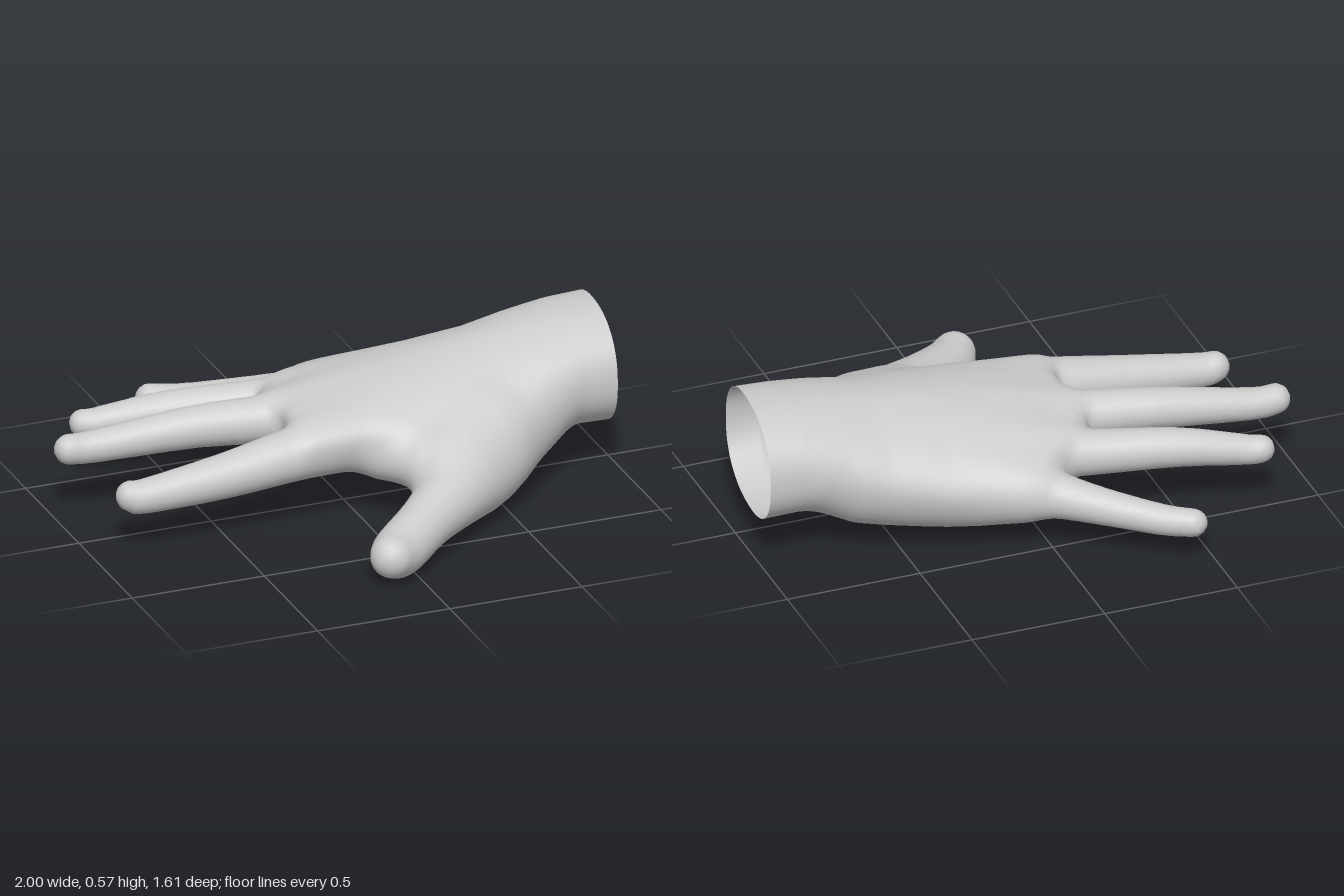
import * as THREE from 'three';

// Finger bones as chains of [x, y, z, radius], from knuckle root to tip
const BONES = {
  index: [[0.1, 0.28, 0.11, 0.11], [-0.2, 0.275, 0.13, 0.097], [-0.5, 0.237, 0.14, 0.08], [-0.8, 0.207, 0.135, 0.062], [-0.855, 0.214, 0.13, 0.055]],
  middle: [[0.1, 0.31, -0.1, 0.11], [-0.2, 0.295, -0.13, 0.088], [-0.5, 0.288, -0.18, 0.075], [-0.85, 0.255, -0.225, 0.058], [-0.945, 0.258, -0.228, 0.054]],
  ring: [[0.1, 0.28, -0.27, 0.1], [-0.2, 0.262, -0.345, 0.082], [-0.5, 0.255, -0.413, 0.07], [-0.74, 0.225, -0.47, 0.054], [-0.79, 0.225, -0.483, 0.05]],
  little: [[0.2, 0.235, -0.36, 0.1], [0, 0.205, -0.475, 0.083], [-0.15, 0.18, -0.58, 0.066], [-0.33, 0.15, -0.695, 0.055], [-0.43, 0.147, -0.755, 0.05]],
  thumb: [[0.62, 0.24, 0.09, 0.15], [0.42, 0.17, 0.24, 0.16], [0.25, 0.155, 0.41, 0.125], [0.1, 0.13, 0.54, 0.098], [-0.05, 0.095, 0.66, 0.094], [-0.108, 0.105, 0.725, 0.077]],
  thumbWeb: [[0.45, 0.25, 0.2, 0.13], [0.25, 0.235, 0.3, 0.1], [0.1, 0.23, 0.19, 0.08]],
  heelOfPalm: [[0.6, 0.25, -0.22, 0.14], [0.3, 0.2, -0.32, 0.12], [0.1, 0.2, -0.42, 0.085]],
};
const SOFT = ['thumb', 'thumbWeb', 'heelOfPalm'];

// Palm and wrist cross-sections: [x, zMin, zMax, yMin, yMax, tilt, squareness]
const PALM = [
  [-0.2, -0.46, 0.22, 0.18, 0.385, 0.11, 2],
  [0, -0.52, 0.23, 0.135, 0.425, 0.12, 1.95],
  [0.15, -0.505, 0.25, 0.11, 0.455, 0.11, 1.85],
  [0.35, -0.46, 0.27, 0.08, 0.49, 0.08, 1.75],
  [0.55, -0.405, 0.26, 0.08, 0.522, 0.03, 1.75],
  [0.7, -0.37, 0.23, 0.125, 0.55, 0.01, 1.95],
  [0.85, -0.347, 0.2, 0.152, 0.568, 0, 2.2],
  [1.1, -0.335, 0.19, 0.15, 0.578, 0, 2.4],
];

const clamp = THREE.MathUtils.clamp;
const lerp = THREE.MathUtils.lerp;

// Round off the joints of each chain
function smoothChain(chain) {
  const path = new THREE.CatmullRomCurve3(chain.map(([x, y, z]) => new THREE.Vector3(x, y, z)), false, 'catmullrom');
  const widths = new THREE.CatmullRomCurve3(chain.map((p) => new THREE.Vector3(p[3], 0, 0)), false, 'catmullrom');
  const count = (chain.length - 1) * 3;
  return path.getPoints(count).map((p, i) => [p.x, p.y, p.z, widths.getPoint(i / count).x]);
}
const CHAINS = Object.entries(BONES).map(([name, bone]) => ({
  points: smoothChain(bone),
  softness: SOFT.includes(name) ? 0.1 : 0.05,
}));

// Smooth union of two distances
function blend(a, b, k) {
  const h = Math.max(k - Math.abs(a - b), 0) / k;
  return Math.min(a, b) - h * h * k * 0.25;
}

// Distance to a chain of round cones
function chainDistance(chain, x, y, z) {
  let best = Infinity;
  for (let i = 0; i + 1 < chain.length; i++) {
    const a = chain[i], b = chain[i + 1];
    const dx = b[0] - a[0], dy = b[1] - a[1], dz = b[2] - a[2];
    const px = x - a[0], py = y - a[1], pz = z - a[2];
    const length2 = dx * dx + dy * dy + dz * dz;
    const foot = (px * dx + py * dy + pz * dz) / length2;
    const away = Math.sqrt((px - foot * dx) ** 2 + (py - foot * dy) ** 2 + (pz - foot * dz) ** 2);
    const taper = a[3] - b[3];
    const lean = away * taper / Math.sqrt(length2 * Math.max(length2 - taper * taper, 1e-6));
    const t = clamp(foot - lean, 0, 1);
    const d = Math.sqrt(away * away + (foot - t) ** 2 * length2);
    best = Math.min(best, d - lerp(a[3], b[3], t));
  }
  return best;
}

// Distance to the rounded palm, cut along the finger webs
function palmDistance(x, y, z) {
  let i = 0;
  while (i < PALM.length - 2 && x > PALM[i + 1][0]) i++;
  const a = PALM[i], b = PALM[i + 1];
  const t = clamp((x - a[0]) / (b[0] - a[0]), 0, 1);
  const [, z0, z1, y0, y1, tilt, power] = a.map((v, n) => lerp(v, b[n], t));
  const hz = (z1 - z0) / 2, hy = (y1 - y0) / 2;
  const offset = z - (z0 + z1) / 2;
  const u = Math.abs(offset / hz), v = Math.abs((y - (y0 + y1) / 2 - tilt * offset) / hy);
  const r = (u ** power + v ** power) ** (1 / power);
  const slope = r ** (1 - power) * Math.hypot(u ** (power - 1) / hz, v ** (power - 1) / hy);
  const side = r < 1e-4 ? -hy : (r - 1) / slope;
  const web = -0.225 + 0.9 * Math.max(0, -z - 0.25) - x;
  return -blend(-side, -web, 0.06);
}

function handDistance(x, y, z) {
  let d = palmDistance(x, y, z);
  for (const { points, softness } of CHAINS) d = blend(d, chainDistance(points, x, y, z), softness);
  return d;
}

function gradient(p) {
  const e = 0.01;
  return new THREE.Vector3(
    handDistance(p.x + e, p.y, p.z) - handDistance(p.x - e, p.y, p.z),
    handDistance(p.x, p.y + e, p.z) - handDistance(p.x, p.y - e, p.z),
    handDistance(p.x, p.y, p.z + e) - handDistance(p.x, p.y, p.z - e)).divideScalar(2 * e);
}

// One continuous skin over the blended bones, left open at the wrist
function skinGeometry() {
  const step = 0.022, wristX = 0.98;
  const n = [93, 32, 80];
  const origin = [wristX - step * (n[0] - 1), -0.05, -0.87];
  const stride = [1, n[0], n[0] * n[1]];
  const at = (i, j, k) => i + stride[1] * j + stride[2] * k;
  const field = new Float32Array(n[0] * n[1] * n[2]);
  const eachPoint = (trim, fn) => {
    for (let k = 0; k < n[2] - trim; k++)
      for (let j = 0; j < n[1] - trim; j++)
        for (let i = 0; i < n[0] - trim; i++) fn(i, j, k, at(i, j, k));
  };
  eachPoint(0, (i, j, k, id) => {
    field[id] = handDistance(origin[0] + i * step, origin[1] + j * step, origin[2] + k * step);
  });

  // One vertex per crossed cell, pulled onto the skin
  const vertexOf = new Int32Array(field.length).fill(-1);
  const positions = [], normals = [], indices = [];
  eachPoint(1, (i, j, k, id) => {
    const sum = new THREE.Vector3();
    let count = 0;
    for (let c = 0; c < 8; c++) {
      for (let a = 0; a < 3; a++) {
        if (c & (1 << a)) continue;
        const corner = [c & 1, (c >> 1) & 1, (c >> 2) & 1];
        const p = id + at(...corner);
        const f0 = field[p], f1 = field[p + stride[a]];
        if ((f0 < 0) === (f1 < 0)) continue;
        corner[a] = f0 / (f0 - f1);
        sum.add(new THREE.Vector3(...corner));
        count++;
      }
    }
    if (!count) return;
    const v = sum.divideScalar(count).add(new THREE.Vector3(i, j, k)).multiplyScalar(step)
      .add(new THREE.Vector3(...origin));
    const rim = i === n[0] - 2;
    if (rim) v.x = wristX;
    for (let pass = 0; pass < 2; pass++) {
      const g = gradient(v);
      const move = clamp(-handDistance(v.x, v.y, v.z) / Math.max(g.lengthSq(), 0.2), -step / 2, step / 2);
      v.addScaledVector(g, move);
      if (rim) v.x = wristX;
    }
    const normal = gradient(v).normalize();
    // Slant the wrist opening
    v.x += clamp((v.x - 0.7) / (wristX - 0.7), 0, 1) * -0.075 * (v.z + 0.075);
    vertexOf[id] = positions.length / 3;
    positions.push(v.x, v.y, v.z);
    normals.push(normal.x, normal.y, normal.z);
  });

  // A quad around every grid edge that crosses the skin
  eachPoint(1, (i, j, k, id) => {
    const cell = [i, j, k];
    for (let a = 0; a < 3; a++) {
      const b = (a + 1) % 3, c = (a + 2) % 3;
      if (!cell[b] || !cell[c]) continue;
      const inside = field[id] < 0;
      if (inside === (field[id + stride[a]] < 0)) continue;
      const q = [id - stride[b] - stride[c], id - stride[c], id, id - stride[b]].map((m) => vertexOf[m]);
      if (!inside) q.reverse();
      indices.push(q[0], q[1], q[2], q[0], q[2], q[3]);
    }
  });

  const geometry = new THREE.BufferGeometry();
  geometry.setAttribute('position', new THREE.Float32BufferAttribute(positions, 3));
  geometry.setAttribute('normal', new THREE.Float32BufferAttribute(normals, 3));
  geometry.setIndex(indices);
  return geometry;
}

export function createModel() {
  const skin = new THREE.MeshStandardMaterial({ color: 0xcccccc, side: THREE.DoubleSide });
  skin.name = 'light grey skin';
  const hand = new THREE.Mesh(skinGeometry(), skin);
  hand.name = 'hand';
  const model = new THREE.Group();
  model.name = 'openHand';
  model.add(hand);
  return model;
}
